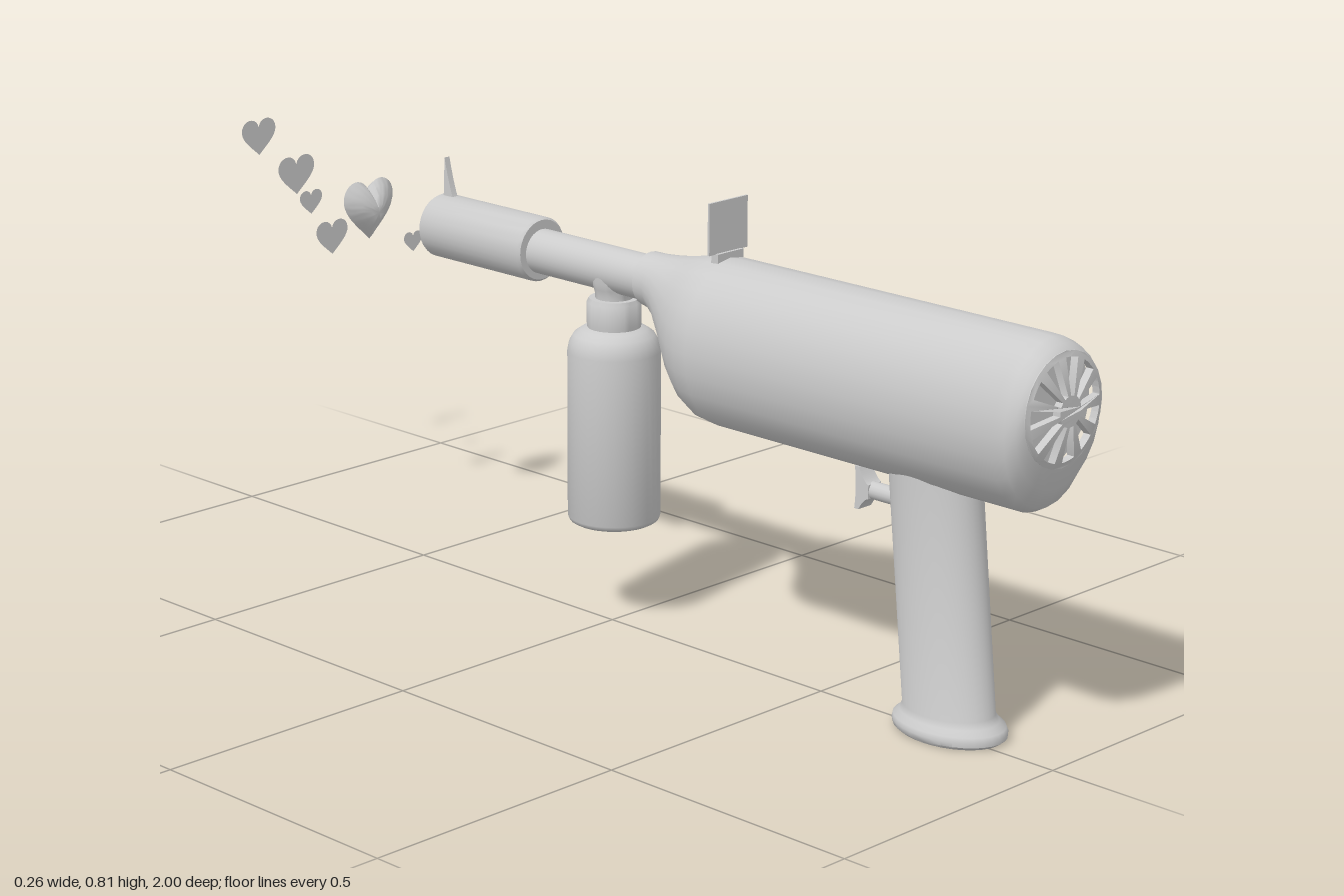
import * as THREE from 'three';
import { toCreasedNormals } from 'three/addons/utils/BufferGeometryUtils.js';

const CX = 0.0145; // centre line of the gun
const grey = new THREE.MeshStandardMaterial({ color: 0xcccccc });
const thin = new THREE.MeshStandardMaterial({ color: 0xcccccc, side: THREE.DoubleSide });

function add(parent, name, geometry, x, y, z, material = grey) {
  const mesh = new THREE.Mesh(geometry, material);
  mesh.name = name;
  mesh.position.set(x, y, z);
  parent.add(mesh);
  return mesh;
}

const lathe = (points, segments = 32) => toCreasedNormals(
  new THREE.LatheGeometry(points.map(p => new THREE.Vector2(...p)), segments), 0.7);

// Skin through rings of equal point count, ordered so that faces point outward
function skin(rings) {
  const n = rings[0].length, index = [];
  for (let r = 0; r < rings.length - 1; r++)
    for (let i = 0; i < n; i++) {
      const a = r * n + i, b = r * n + (i + 1) % n;
      index.push(a, b, a + n, b, b + n, a + n);
    }
  const g = new THREE.BufferGeometry();
  g.setAttribute('position', new THREE.Float32BufferAttribute(rings.flat(2), 3));
  g.setIndex(index);
  g.computeVertexNormals();
  return g;
}

function heartShape(w, h) {
  const s = new THREE.Shape();
  const x = w / 2, y = h / 2;
  s.moveTo(0, -y);
  s.bezierCurveTo(0.35 * x, -0.6 * y, x, -0.1 * y, x, 0.42 * y);
  s.bezierCurveTo(x, 1.15 * y, 0.12 * x, 1.25 * y, 0, 0.58 * y);
  s.bezierCurveTo(-0.12 * x, 1.25 * y, -x, 1.15 * y, -x, 0.42 * y);
  s.bezierCurveTo(-x, -0.1 * y, -0.35 * x, -0.6 * y, 0, -y);
  return s;
}

export function createModel() {
  const model = new THREE.Group();
  model.name = 'heartBlaster';

  // Body: elliptical sections given as z, bottom, top, half width
  const sections = [
    [0.08, 0.593, 0.688, 0.047], [0.105, 0.588, 0.688, 0.05], [0.13, 0.565, 0.69, 0.058],
    [0.16, 0.515, 0.694, 0.073], [0.19, 0.463, 0.7, 0.091], [0.215, 0.434, 0.706, 0.103],
    [0.24, 0.422, 0.71, 0.111], [0.27, 0.418, 0.712, 0.114], [0.6, 0.418, 0.712, 0.114],
    [0.935, 0.418, 0.712, 0.114], [0.957, 0.43, 0.711, 0.112], [0.975, 0.463, 0.703, 0.106],
    [0.985, 0.502, 0.692, 0.095],
  ];
  const body = sections.map(([z, lo, hi, rx]) => Array.from({ length: 24 }, (_, i) => {
    const a = i / 24 * Math.PI * 2;
    return [rx * Math.cos(a), (lo + hi) / 2 + (hi - lo) / 2 * Math.sin(a), z];
  }));
  add(model, 'body', skin(body), CX, 0, 0);
  add(model, 'neckFace', new THREE.CircleGeometry(0.047, 24).rotateY(Math.PI), CX, 0.6405, 0.08);

  // Domed vent with radial slots
  const grille = new THREE.Shape().absarc(0, 0, 0.096, 0, Math.PI * 2);
  const slots = 11;
  for (let i = 0; i < slots; i++) {
    const mid = Math.PI / 2 - 0.15 - i / slots * Math.PI * 2;
    const hole = new THREE.Path();
    hole.absarc(0, 0, 0.086, mid - 0.18, mid + 0.18, false);
    hole.absarc(0, 0, 0.026, mid + 0.16, mid - 0.16, true);
    hole.closePath();
    grille.holes.push(hole);
  }
  const vent = new THREE.ExtrudeGeometry(grille, { depth: 0.014, bevelEnabled: false, curveSegments: 12 });
  const vp = vent.attributes.position;
  for (let i = 0; i < vp.count; i++)
    vp.setZ(i, vp.getZ(i) - 1.6 * (vp.getX(i) ** 2 + vp.getY(i) ** 2));
  add(model, 'ventGrille', toCreasedNormals(vent, 0.6), CX, 0.597, 0.986);
  add(model, 'ventBack', new THREE.CircleGeometry(0.098, 32), CX, 0.597, 0.958);

  // Barrel and hollow muzzle
  const along = g => g.rotateX(-Math.PI / 2);
  add(model, 'barrel', along(new THREE.CylinderGeometry(0.04, 0.04, 0.3, 32)), CX, 0.64, -0.05);
  add(model, 'muzzle', along(lathe([
    [0, 0], [0.054, 0], [0.058, 0.005], [0.058, 0.258], [0.056, 0.262],
    [0.042, 0.262], [0.036, 0.25], [0.034, 0.12], [0, 0.12],
  ])), CX, 0.6425, -0.19);

  // Sights
  add(model, 'rearSightPlate', new THREE.BoxGeometry(0.093, 0.09, 0.004), CX, 0.766, 0.26);
  add(model, 'rearSightStem', new THREE.BoxGeometry(0.062, 0.022, 0.016), CX, 0.711, 0.26);
  const fin = new THREE.Shape();
  fin.moveTo(-0.412, 0.69);
  fin.quadraticCurveTo(-0.425, 0.715, -0.437, 0.77);
  fin.lineTo(-0.441, 0.69);
  const side = (shape, width) => new THREE.ExtrudeGeometry(shape,
    { depth: width, bevelEnabled: false }).translate(0, 0, -width / 2).rotateY(-Math.PI / 2);
  add(model, 'frontSight', side(fin, 0.012), CX, 0, 0);

  // Bottle hanging below the barrel
  const bottle = new THREE.Group();
  bottle.name = 'bottle';
  bottle.position.set(CX, 0, -0.01);
  model.add(bottle);
  add(bottle, 'tank', lathe([
    [0, 0.183], [0.072, 0.183], [0.079, 0.187], [0.082, 0.194], [0.082, 0.495], [0.079, 0.511],
    [0.071, 0.525], [0.058, 0.534], [0.042, 0.54], [0, 0.54],
  ]), 0, 0, 0);
  add(bottle, 'collar', lathe([
    [0.046, 0.53], [0.048, 0.545], [0.048, 0.583], [0.044, 0.59], [0, 0.59],
  ]), 0, 0, 0);
  add(bottle, 'connector', lathe([
    [0.033, 0.585], [0.033, 0.597], [0.036, 0.608], [0.039, 0.62], [0.039, 0.64],
  ]), 0, 0, 0, thin);

  // Leaning oval grip with a flared foot
  const grip = lathe([
    [0, 0], [0.071, 0], [0.077, 0.006], [0.078, 0.014], [0.076, 0.022],
    [0.067, 0.031], [0.0625, 0.042], [0.0625, 0.47],
  ]);
  const gp = grip.attributes.position;
  for (let i = 0; i < gp.count; i++) gp.setZ(i, gp.getZ(i) * 1.37 - 0.103 * gp.getY(i));
  grip.computeVertexNormals();
  add(model, 'grip', toCreasedNormals(grip, 0.7), CX, 0, 0.773);

  // Trigger: rod and flared finger pad
  add(model, 'triggerRod', along(new THREE.CylinderGeometry(0.015, 0.015, 0.09, 16)), CX, 0.376, 0.628);
  const pad = new THREE.Shape();
  pad.moveTo(0.568, 0.342);
  pad.lineTo(0.577, 0.342);
  pad.quadraticCurveTo(0.588, 0.362, 0.598, 0.364);
  pad.lineTo(0.598, 0.388);
  pad.quadraticCurveTo(0.588, 0.392, 0.577, 0.416);
  pad.lineTo(0.568, 0.416);
  pad.quadraticCurveTo(0.573, 0.38, 0.568, 0.342);
  add(model, 'triggerPad', side(pad, 0.032), CX, 0, 0);

  // Puffed heart in front of the muzzle: outlines shrinking toward both poles
  const outline = heartShape(0.12, 0.11).getPoints(12).slice(0, -1);
  const layers = [[0.001, -1], [0.25, -0.93], [0.55, -0.68], [0.8, -0.36], [1, 0],
    [0.8, 0.36], [0.55, 0.68], [0.25, 0.93], [0.001, 1]];
  const puff = layers.map(([s, d]) => outline.map(p => [p.x * s, p.y * s, d * 0.03]));
  add(model, 'puffedHeart', toCreasedNormals(skin(puff), 0.9), 0.011, 0.636, -0.65);

  // Flat hearts flying away: x, y, z, width
  const flying = [
    [-0.0875, 0.703, -0.737, 0.086], [0.042, 0.712, -1, 0.083], [0.057, 0.605, -0.868, 0.055],
    [0.022, 0.56, -0.768, 0.077], [0.062, 0.578, -0.585, 0.045],
  ];
  for (const [x, y, z, w] of flying)
    add(model, 'flatHeart', new THREE.ShapeGeometry(heartShape(w, w * 0.83), 10), x, y, z, thin);

  return model;
}
